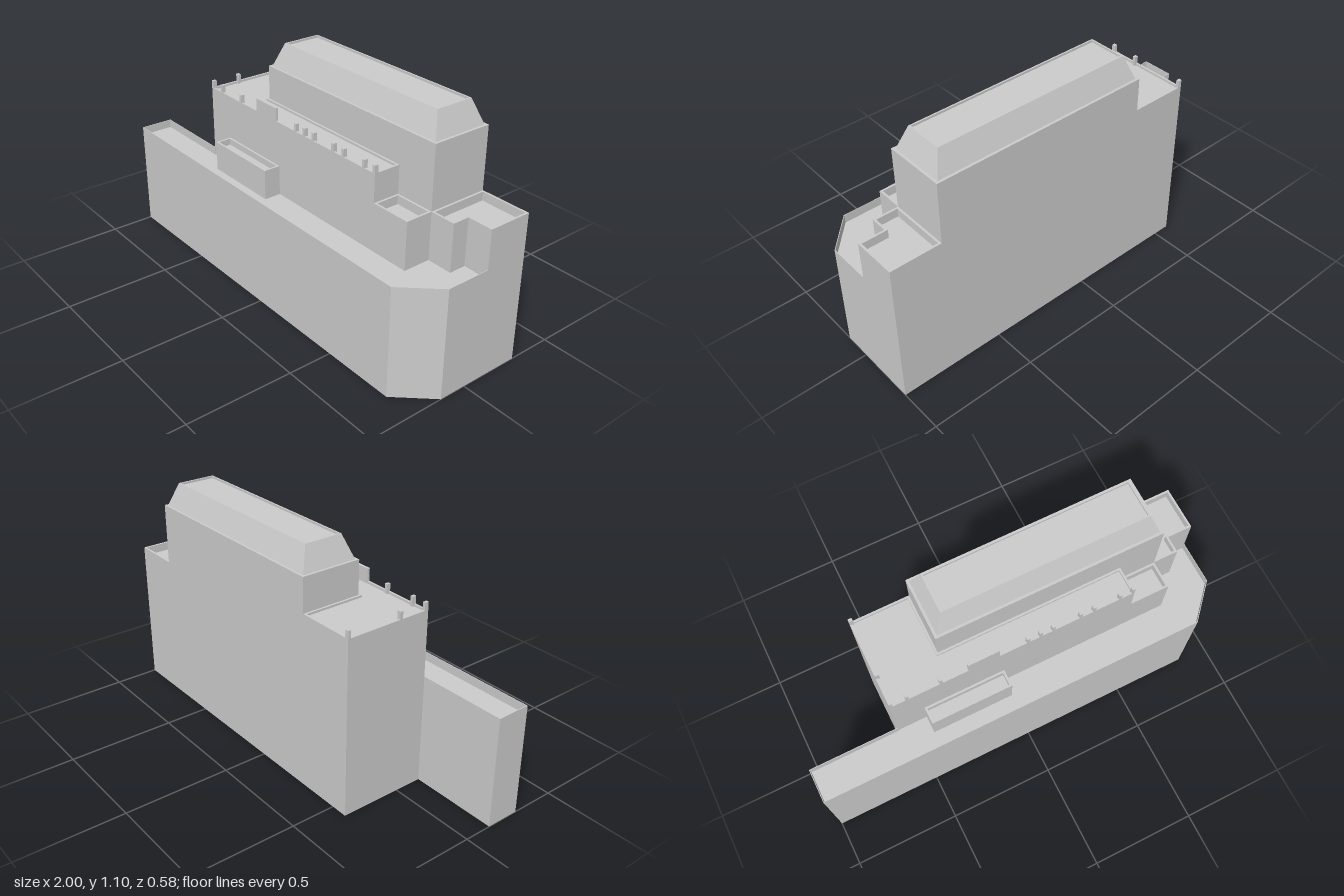
import * as THREE from 'three';

const material = new THREE.MeshStandardMaterial({ color: 0xcccccc, flatShading: true, side: THREE.DoubleSide });

// Moves every edge of a counter-clockwise outline inwards by t, with mitred corners.
function inset(points, t) {
  const n = points.length;
  const normal = (a, b) => new THREE.Vector2(a.y - b.y, b.x - a.x).normalize();
  return points.map((p, i) => {
    const n1 = normal(points[(i + n - 1) % n], p);
    const n2 = normal(p, points[(i + 1) % n]);
    return p.clone().addScaledVector(n1.clone().add(n2), t / (1 + n1.dot(n2)));
  });
}

// Skins a plan outline, given as [x, z] corners, through [inset, y] steps and closes the last with a roof.
function block(name, plan, steps) {
  const outline = plan.map(([x, z]) => new THREE.Vector2(x, -z));
  if (THREE.ShapeUtils.isClockWise(outline)) outline.reverse();
  const loops = steps.map(([t, y]) => inset(outline, t).map(p => new THREE.Vector3(p.x, y, -p.y)));
  const corners = [];
  for (let k = 0; k + 1 < loops.length; k++) {
    const low = loops[k], high = loops[k + 1];
    low.forEach((a, i) => {
      const j = (i + 1) % low.length;
      corners.push(a, low[j], high[j], a, high[j], high[i]);
    });
  }
  const roof = loops[loops.length - 1];
  for (const face of THREE.ShapeUtils.triangulateShape(outline, [])) {
    corners.push(...face.map(i => roof[i]));
  }
  const geometry = new THREE.BufferGeometry().setFromPoints(corners);
  geometry.computeVertexNormals();
  const mesh = new THREE.Mesh(geometry, material);
  mesh.name = name;
  return mesh;
}

// Walls with a parapet of the given thickness around a sunken roof.
const parapetSteps = (y0, y1, thickness, depth) =>
  [[0, y0], [0, y1], [thickness, y1], [thickness, y1 - depth]];

const rect = (x0, x1, z0, z1) => [[x0, z1], [x1, z1], [x1, z0], [x0, z0]];

function box(name, x0, x1, y0, y1, z0, z1) {
  const mesh = new THREE.Mesh(new THREE.BoxGeometry(x1 - x0, y1 - y0, z1 - z0), material);
  mesh.position.set((x0 + x1) / 2, (y0 + y1) / 2, (z0 + z1) / 2);
  mesh.name = name;
  return mesh;
}

export function createModel() {
  const model = new THREE.Group();
  model.name = 'building';
  const deck = 0.48;

  // Podium with the narrow wing and the cut corner, open underneath
  model.add(block('podium',
    [[-1, 0.13], [-1, 0.29], [0.855, 0.29], [1, 0.13], [1, -0.29], [-0.58, -0.29], [-0.58, 0.13]],
    parapetSteps(0, 0.52, 0.003, 0.04)));

  // Main storeys wrapping round the front and end of the penthouse
  model.add(block('mainStoreys',
    [[-0.58, 0.13], [0.57, 0.13], [0.57, 0], [-0.30, 0], [-0.30, -0.29], [-0.58, -0.29]],
    parapetSteps(deck, 0.83, 0.01, 0.01)));

  // Lower terraces and the front bay
  model.add(block('frontTerrace', rect(0.57, 0.76, 0, 0.13), parapetSteps(deck, 0.70, 0.01, 0.04)));
  model.add(block('sideTerrace',
    [[0.76, 0], [0.88, 0], [0.88, -0.08], [1, -0.08], [1, -0.29], [0.76, -0.29]],
    parapetSteps(deck, 0.70, 0.01, 0.04)));
  model.add(block('frontBay', rect(-0.44, -0.055, 0.13, 0.21), parapetSteps(deck, 0.62, 0.01, 0.03)));

  // Penthouse with its sloping roof
  model.add(block('penthouse', rect(-0.30, 0.76, -0.29, 0),
    [[0, deck], [0, 0.99], [0.012, 0.99], [0.053, 1.10], [0.06, 1.10], [0.06, 1.09]]));

  // Raised panel and posts on the front parapet
  model.add(box('parapetPanel', -0.22, -0.075, 0.82, 0.89, 0.118, 0.13));
  for (const x of [-0.573, -0.50, -0.345, 0.06, 0.12, 0.18, 0.31, 0.375, 0.50, 0.563]) {
    model.add(box('parapetPost', x - 0.007, x + 0.007, 0.82, 0.865, 0.112, 0.13));
  }

  // Posts along the end parapet
  for (const z of [-0.283, -0.015]) {
    model.add(box('parapetPost', -0.58, -0.562, 0.82, 0.865, z - 0.007, z + 0.007));
  }
  return model;
}
